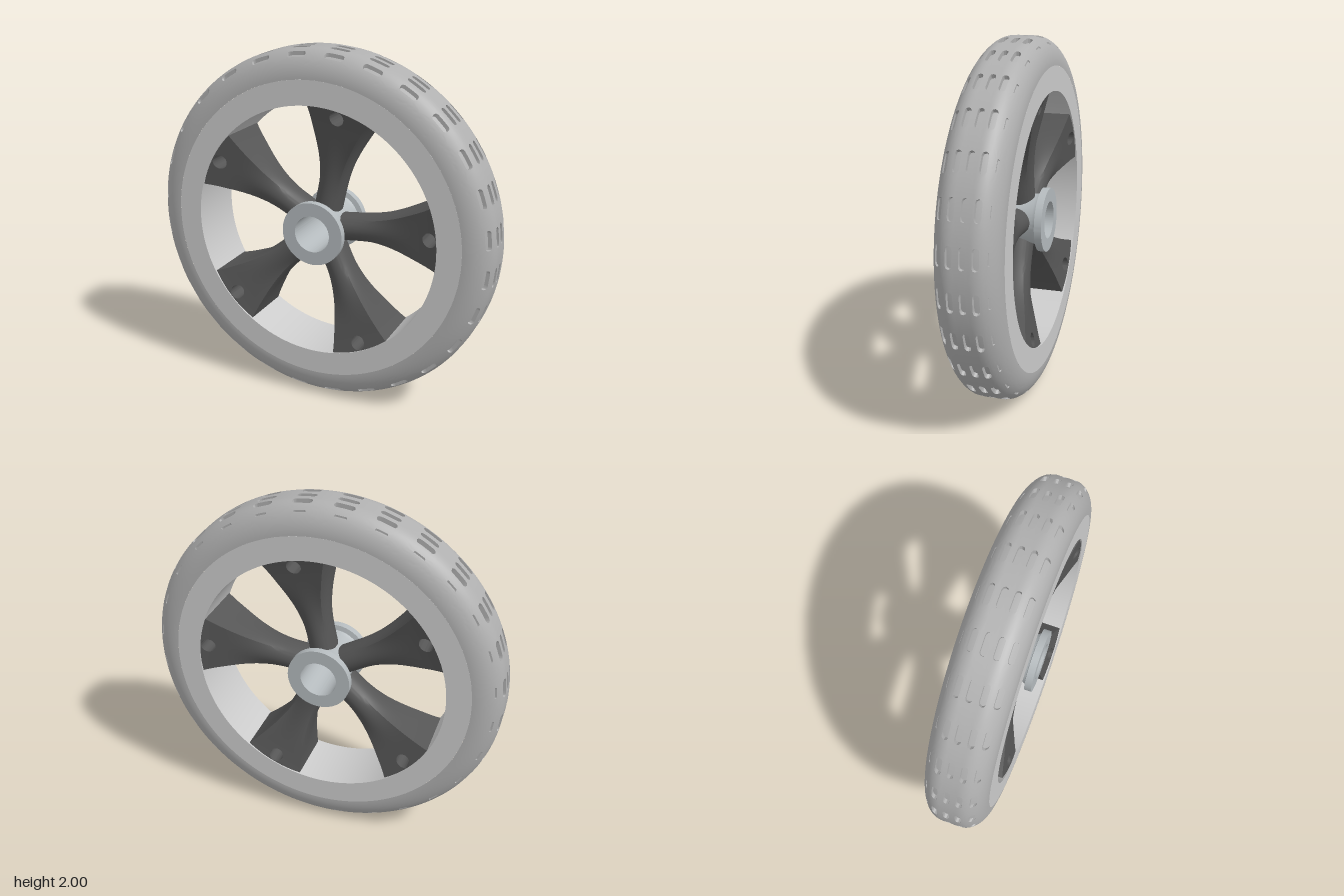
import * as THREE from 'three';
import { toCreasedNormals } from 'three/addons/utils/BufferGeometryUtils.js';

const WIDTH = 0.17; // half width of the wheel
const V = (x, y, z) => new THREE.Vector3(x, y, z);
const reversed = (loop) => [...loop].reverse();

// Strip of quads between two matching loops of points
function band(out, a, b, closed = true) {
  const n = a.length;
  for (let i = 0; i < (closed ? n : n - 1); i++) {
    const j = (i + 1) % n;
    for (const p of [a[i], a[j], b[j], a[i], b[j], b[i]]) out.push(p);
  }
}

function creasedMesh(name, points, color, angle = 0.6) {
  const geo = points.isBufferGeometry ? points : new THREE.BufferGeometry().setFromPoints(points);
  const mesh = new THREE.Mesh(toCreasedNormals(geo, angle), new THREE.MeshStandardMaterial({ color }));
  mesh.name = name;
  return mesh;
}

// Counter-clockwise loop round the square from -1 to 1
function squareLoop(nu, nv) {
  const loop = [];
  for (let i = 0; i < nu; i++) loop.push([-1 + (2 * i) / nu, -1]);
  for (let i = 0; i < nv; i++) loop.push([1, -1 + (2 * i) / nv]);
  for (let i = 0; i < nu; i++) loop.push([1 - (2 * i) / nu, 1]);
  for (let i = 0; i < nv; i++) loop.push([-1, 1 - (2 * i) / nv]);
  return loop;
}

// Loops blending from an outer 2D outline to an inner one, placed by map
function blendLoops(outer, inner, steps, map) {
  return Array.from({ length: steps + 1 }, (_, k) => outer.map(([u, v], i) => {
    const t = k / steps;
    return map(u + (inner[i][0] - u) * t, v + (inner[i][1] - v) * t);
  }));
}

function bands(out, loops) {
  for (let k = 0; k + 1 < loops.length; k++) band(out, loops[k], loops[k + 1]);
}

// Tyre: rounded tread tiled with recessed slots, plus smooth shoulders
function createTyre() {
  const stations = 28, nu = 12, step = (2 * Math.PI) / stations;
  const edge = 0.145, flat = 0.05, bead = 0.845;
  const radiusAt = (z) => {
    const d = Math.max(0, (Math.abs(z) - flat) / (WIDTH - flat));
    return bead + (1 - bead) * Math.sqrt(Math.max(0, 1 - d * d));
  };
  const polar = (r, a, z) => V(r * Math.cos(a), r * Math.sin(a), z);
  // z from, z to, slot centre, slot half width, half straight length, depth
  const rows = [
    [0.089, edge, 0.12, 0.014, 0.042, 0.02],
    [0.025, 0.089, 0.055, 0.0165, 0.04, 0.024],
    [-0.041, 0.025, -0.01, 0.0165, 0.04, 0.024],
    [-0.103, -0.041, -0.075, 0.0165, 0.04, 0.024],
    [-edge, -0.103, -0.13, 0.005, 0.03, 0.01],
  ];
  const out = [], square = squareLoop(nu, 4);
  for (const [z0, z1, zc, r, s, depth] of rows) {
    const tile = square.map(([u, v]) => [(u * step) / 2, z0 + ((v + 1) / 2) * (z1 - z0)]);
    const slot = square.map(([u, v]) => {
      if (Math.abs(u) < 1) return [u * s, zc + v * r];
      const a = (v * Math.PI) / 2;
      return [u * (s + r * Math.cos(a)), zc + r * Math.sin(a)];
    });
    const middle = square.map(([u]) => [u * s, zc]);
    for (let i = 0; i < stations; i++) {
      const at = (d) => (a, z) => polar(radiusAt(z) - d, (i + 0.5) * step + a, z);
      const surface = blendLoops(tile, slot, 3, at(0));
      const floor = blendLoops(slot, middle, 1, at(depth));
      bands(out, [...surface, ...floor]);
    }
  }
  // Shoulders from the tread edge down to the bead
  const start = Math.asin((edge - flat) / (WIDTH - flat));
  for (const side of [1, -1]) {
    const loops = [];
    for (let k = 0; k <= 9; k++) {
      const f = start + ((Math.PI / 2 - start) * k) / 9;
      const z = side * (flat + (WIDTH - flat) * Math.sin(f));
      const r = bead + (1 - bead) * Math.cos(f);
      const loop = Array.from({ length: stations * nu }, (_, i) => polar(r, (i * step) / nu, z));
      loops.push(side > 0 ? loop : reversed(loop));
    }
    bands(out, loops);
  }
  return creasedMesh('tyre', out, 0xb0b0b0);
}

// Turned part from a closed profile of [radius, z]
function turned(name, profile, color) {
  const pts = [...profile, profile[0]].map(([r, z]) => new THREE.Vector2(r, z));
  return creasedMesh(name, new THREE.LatheGeometry(pts, 128).rotateX(Math.PI / 2), color);
}

// Spoke along +x: oval at the hub, flaring to a box with a drilled hole at the rim
function createSpoke() {
  const m = 12, x0 = 0.12, x1 = 0.6, x2 = 0.74, holeX = 0.667, holeR = 0.04;
  const flare = (x) => THREE.MathUtils.clamp((x - 0.22) / 0.49, 0, 1);
  const halfWidth = (x) => 0.076 + 0.108 * flare(x) ** 2.3;
  const halfDepth = (x) => 0.095 + 0.07 * flare(x) ** 2;
  const place = (x, p, q) => {
    const k = THREE.MathUtils.smoothstep(x, 0.2, x1);
    const f = k + (1 - k) / Math.hypot(p, q);
    return V(x, halfWidth(x) * p * f, halfDepth(x) * q * f);
  };
  const square = squareLoop(m, m);
  const section = (x) => square.map(([p, q]) => place(x, p, q));
  const out = [];
  // Body
  const steps = 24;
  for (let i = 0; i < steps; i++) {
    const at = (j) => section(x0 + ((x1 - x0) * j) / steps);
    band(out, at(i), at(i + 1));
  }
  // Side walls of the foot
  for (let i = 0; i < m; i++) {
    const at = (j) => section(x1 + ((x2 - x1) * j) / m);
    const a = at(i), b = at(i + 1);
    for (const s of [m, 3 * m]) {
      const wall = (loop) => [...loop, loop[0]].slice(s, s + m + 1);
      band(out, wall(a), wall(b), false);
    }
  }
  // Front and back of the foot, joined by the hole
  const outline = square.map(([u, v]) => [x1 + ((u + 1) / 2) * (x2 - x1), v]);
  const hole = square.map(([u, v]) => {
    const a = Math.atan2(v, u), x = holeX + holeR * Math.cos(a);
    return [x, (holeR * Math.sin(a)) / halfWidth(x)];
  });
  const front = blendLoops(outline, hole, 4, (x, p) => place(x, p, 1));
  const back = blendLoops(outline, hole, 4, (x, p) => place(x, p, -1));
  bands(out, front);
  bands(out, back.map(reversed));
  band(out, front[4], back[4]);
  return creasedMesh('spoke', out, 0x555555, 0.5);
}

export function createModel() {
  const wheel = new THREE.Group();
  wheel.name = 'wheel';
  wheel.position.y = 1;

  wheel.add(createTyre());
  wheel.add(turned('rim', [[0.845, -WIDTH], [0.845, WIDTH], [0.71, WIDTH], [0.71, -WIDTH]], 0xcccac8));

  // Hub: bored barrel with a flange at each end
  wheel.add(turned('hub', [
    [0.178, -WIDTH], [0.178, -0.13], [0.15, -0.125], [0.14, -0.105],
    [0.14, 0.105], [0.15, 0.125], [0.178, 0.13], [0.178, WIDTH],
    [0.103, WIDTH], [0.103, -WIDTH],
  ], 0xb4babd));

  // Five spokes
  const spoke = createSpoke();
  for (let i = 0; i < 5; i++) {
    const copy = spoke.clone();
    copy.rotation.z = THREE.MathUtils.degToRad(6.2 + 72 * i);
    wheel.add(copy);
  }

  const model = new THREE.Group();
  model.name = 'wheelModel';
  model.add(wheel);
  return model;
}
